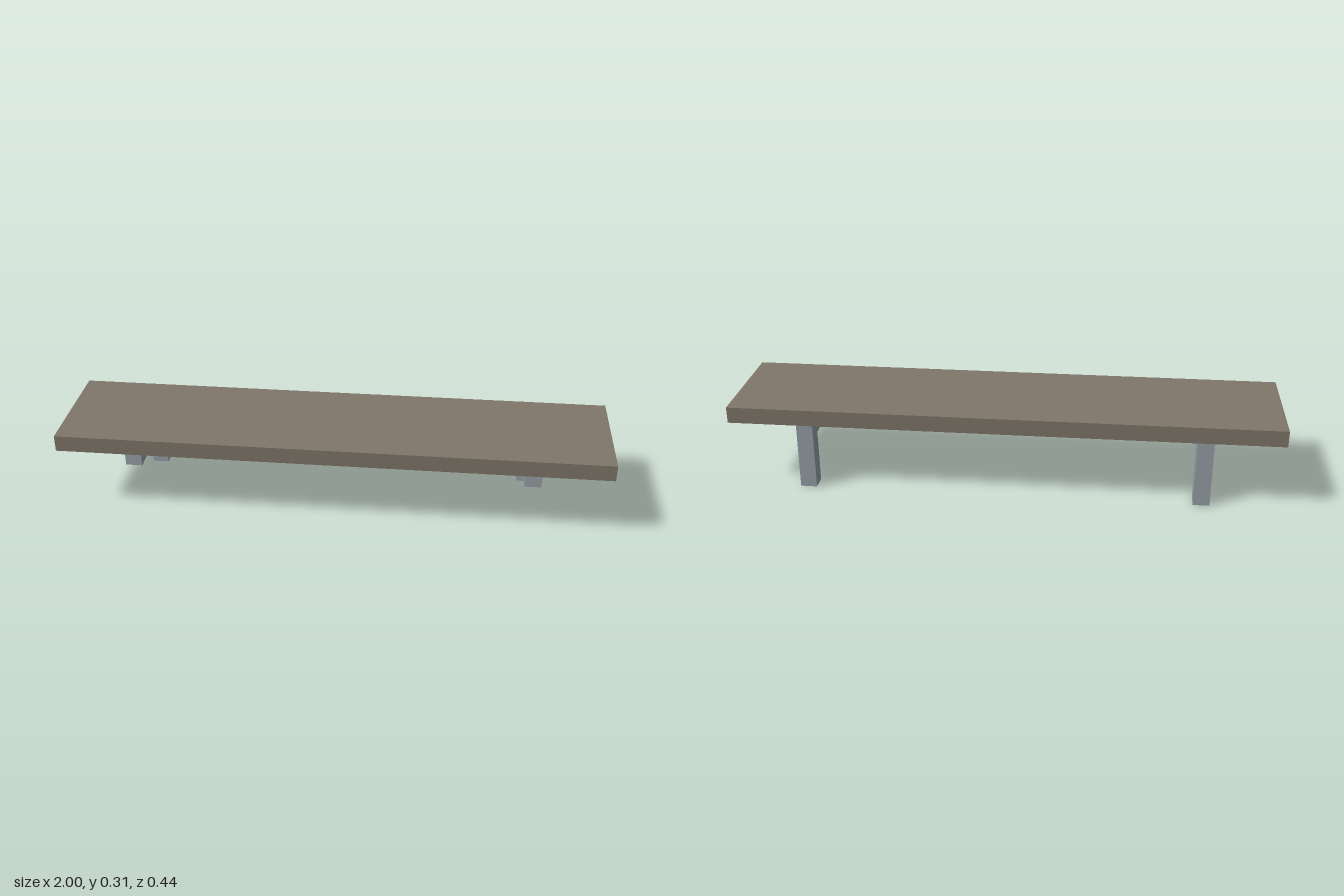
import * as THREE from 'three';

export function createModel() {
  const model = new THREE.Group();
  model.name = 'wallShelf';

  const wood = new THREE.MeshStandardMaterial({ color: 0x80776b });
  wood.name = 'weathered wood';
  const steel = new THREE.MeshStandardMaterial({ color: 0x98a2aa });
  steel.name = 'grey steel';

  // Box given by its minimum and maximum y and z
  function addBox(parent, name, material, width, [y0, y1], [z0, z1]) {
    const mesh = new THREE.Mesh(new THREE.BoxGeometry(width, y1 - y0, z1 - z0), material);
    mesh.name = name;
    mesh.position.set(0, (y0 + y1) / 2, (z0 + z1) / 2);
    parent.add(mesh);
  }

  // Plank
  addBox(model, 'plank', wood, 2, [0.251, 0.311], [-0.22, 0.22]);

  // Mirrored brackets: upright at the back, arm reaching forward just below the plank
  for (const side of [-1, 1]) {
    const bracket = new THREE.Group();
    bracket.name = side > 0 ? 'leftBracket' : 'rightBracket';
    bracket.position.x = side * 0.72;
    addBox(bracket, 'upright', steel, 0.06, [0, 0.251], [-0.21, -0.15]);
    addBox(bracket, 'arm', steel, 0.06, [0.196, 0.247], [-0.15, 0.2]);
    model.add(bracket);
  }

  return model;
}
